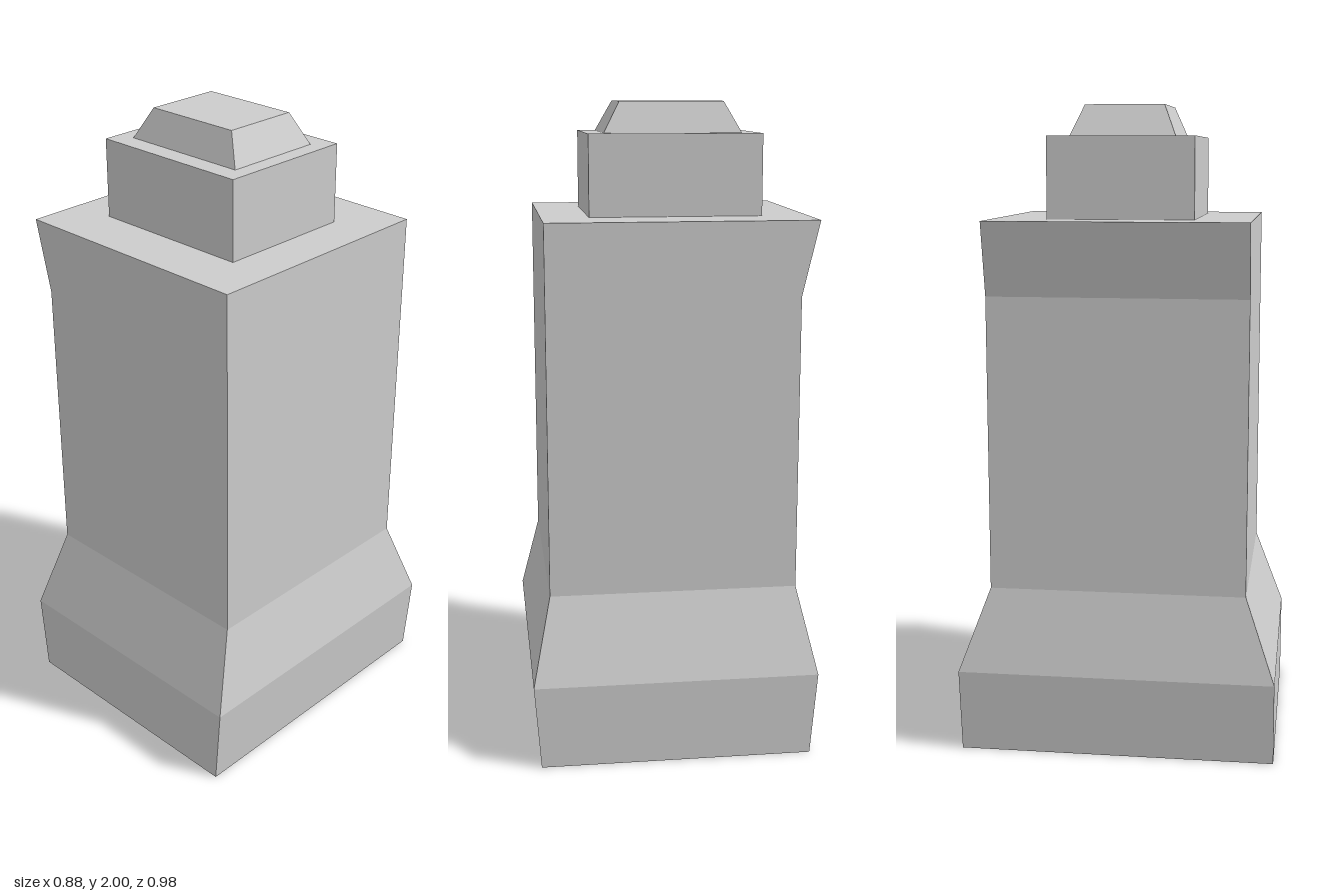
import * as THREE from 'three';

// Closed solid through stacked rectangles, each [y, xMin, xMax, zMin, zMax]
function loftRects(sections) {
  const rings = sections.map(([y, x0, x1, z0, z1]) => [
    [x0, y, z1], [x1, y, z1], [x1, y, z0], [x0, y, z0],
  ]);
  const positions = [];
  const quad = (a, b, c, d) => positions.push(...a, ...b, ...c, ...a, ...c, ...d);
  for (let i = 0; i < rings.length - 1; i++) {
    for (let j = 0; j < 4; j++) {
      const k = (j + 1) % 4;
      quad(rings[i][j], rings[i][k], rings[i + 1][k], rings[i + 1][j]);
    }
  }
  const top = rings[rings.length - 1];
  quad(top[0], top[1], top[2], top[3]);
  const bottom = rings[0];
  quad(bottom[3], bottom[2], bottom[1], bottom[0]);

  const geometry = new THREE.BufferGeometry();
  geometry.setAttribute('position', new THREE.Float32BufferAttribute(positions, 3));
  geometry.computeVertexNormals();
  return geometry;
}

export function createModel() {
  const group = new THREE.Group();
  group.name = 'tower';
  const stone = new THREE.MeshStandardMaterial({ color: 0xcccccc, flatShading: true });
  stone.name = 'light grey';

  const add = (name, sections) => {
    const mesh = new THREE.Mesh(loftRects(sections), stone);
    mesh.name = name;
    group.add(mesh);
  };

  // Flared foot, straight shaft, and an overhang at the top of the right side
  add('towerBody', [
    [0, -0.42, 0.42, -0.49, 0.49],
    [0.26, -0.442, 0.44, -0.493, 0.49],
    [0.52, -0.385, 0.382, -0.398, 0.397],
    [1.43, -0.385, 0.382, -0.398, 0.397],
    [1.657, -0.438, 0.382, -0.398, 0.397],
  ]);

  // Upper block, set slightly to the right
  add('upperBlock', [
    [1.657, -0.295, 0.236, -0.225, 0.223],
    [1.905, -0.295, 0.236, -0.225, 0.223],
  ]);

  // Tapered cap
  add('cap', [
    [1.905, -0.241, 0.184, -0.163, 0.16],
    [2, -0.19, 0.132, -0.123, 0.121],
  ]);

  return group;
}
